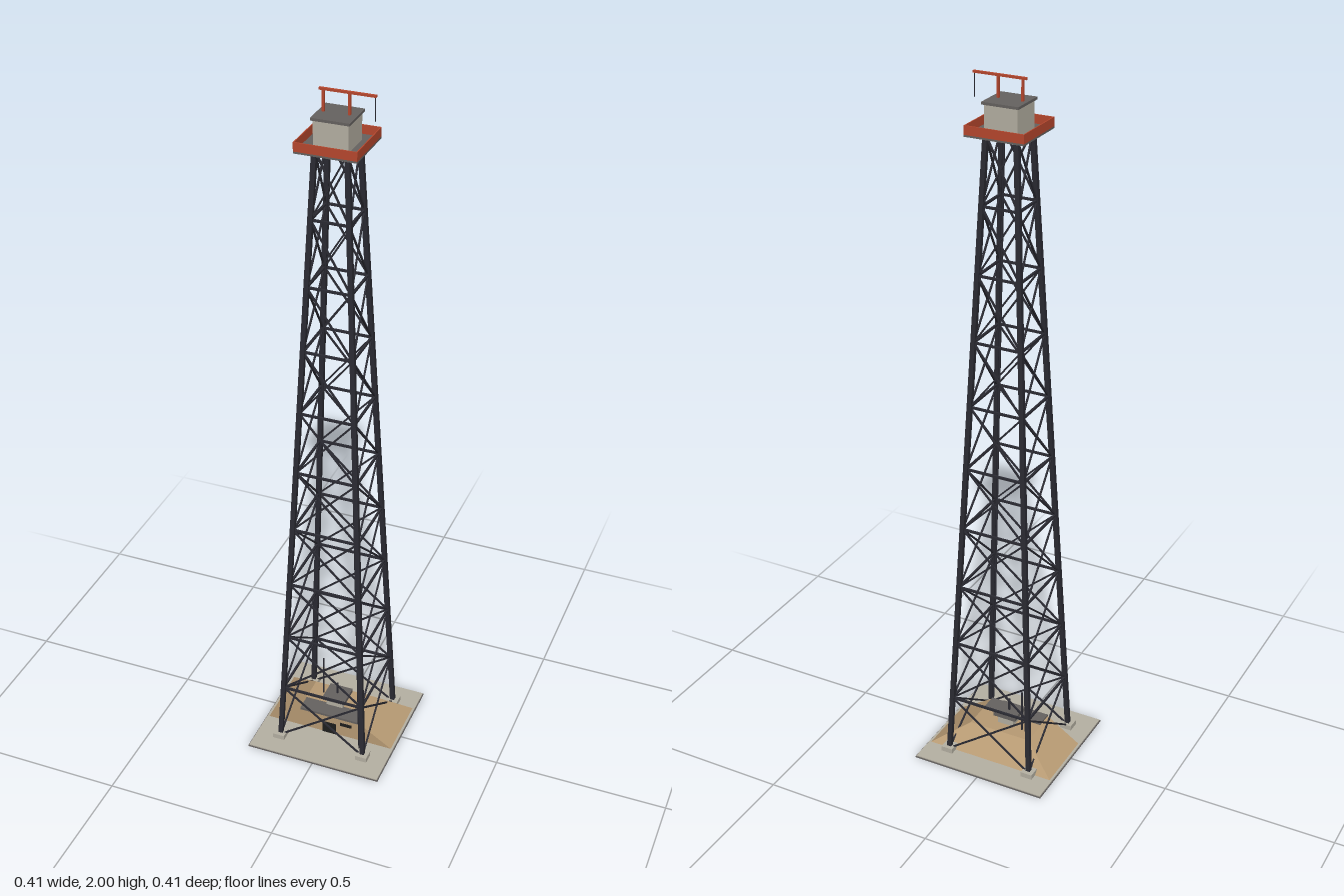
import * as THREE from 'three';
import { ConvexGeometry } from 'three/addons/geometries/ConvexGeometry.js';

const mat = (name, color) => Object.assign(new THREE.MeshStandardMaterial({ color }), { name });
const V = (x, y, z) => new THREE.Vector3(x, y, z);

export function createModel() {
  const steel = mat('dark steel', 0x2b2b33);
  const concrete = mat('concrete', 0xb6b1a3);
  const sand = mat('packed earth', 0xb89b74);
  const rust = mat('red oxide', 0xb8482e);
  const grey = mat('dark grey', 0x666260);
  const black = mat('opening black', 0x1f1e1d);

  const model = new THREE.Group();
  model.name = 'watchTower';
  const group = (name) => {
    const g = new THREE.Group();
    g.name = name;
    model.add(g);
    return g;
  };

  // Box given by its centre x, bottom y, centre z
  const box = (parent, name, m, w, h, d, x, y, z) => {
    const mesh = new THREE.Mesh(new THREE.BoxGeometry(w, h, d), m);
    mesh.position.set(x, y + h / 2, z);
    mesh.name = name;
    parent.add(mesh);
    return mesh;
  };

  // Square bar between two points
  const bar = (parent, name, m, a, b, t) => {
    const mesh = new THREE.Mesh(new THREE.BoxGeometry(t, t, a.distanceTo(b)), m);
    mesh.position.copy(a).add(b).multiplyScalar(0.5);
    mesh.lookAt(b);
    mesh.name = name;
    parent.add(mesh);
  };

  // Dark foundation plate, concrete slab and leg footings
  const base = group('base');
  box(base, 'foundation', grey, 0.407, 0.003, 0.407, 0, 0, 0);
  box(base, 'slab', concrete, 0.402, 0.003, 0.402, 0, 0.003, 0);
  for (const sx of [-1, 1]) for (const sz of [-1, 1])
    box(base, 'footing', concrete, 0.035, 0.016, 0.035, sx * 0.13, 0.005, sz * 0.13);

  // Earth-banked bunker: vertical front, sloping sides and back
  const bunker = group('bunker');
  const corners = [];
  for (const s of [-1, 1]) corners.push(
    V(s * 0.196, 0.005, 0.066), V(s * 0.196, 0.005, -0.126),
    V(s * 0.095, 0.07, 0.066), V(s * 0.095, 0.07, -0.063));
  const mound = new THREE.Mesh(new ConvexGeometry(corners), sand);
  mound.name = 'earthMound';
  bunker.add(mound);
  box(bunker, 'roofLip', grey, 0.185, 0.007, 0.05, 0, 0.068, 0.043);
  box(bunker, 'door', black, 0.042, 0.038, 0.005, 0, 0.006, 0.066);
  box(bunker, 'window', black, 0.036, 0.01, 0.005, 0.052, 0.045, 0.066);
  box(bunker, 'cupola', concrete, 0.05, 0.026, 0.05, 0, 0.069, 0);
  box(bunker, 'cupolaRoof', grey, 0.07, 0.012, 0.065, 0, 0.095, 0);
  box(bunker, 'ventPole', steel, 0.005, 0.04, 0.005, 0, 0.105, 0);
  box(bunker, 'aerial', steel, 0.004, 0.132, 0.004, -0.055, 0.07, -0.026);

  // Tapering lattice tower
  const tower = group('latticeTower');
  const top = 1.857, bays = 10, foot = 0.01, slope = 0.087 / top;
  const half = (y) => 0.13 - slope * y;
  const level = (i) => 0.002 + i * 0.1855;
  const at = (sx, y, sz) => V(sx * half(y), y, sz * half(y));
  const ring = [[1, 1], [1, -1], [-1, -1], [-1, 1]];
  ring.forEach(([ax, az], k) => {
    const [bx, bz] = ring[(k + 1) % 4];
    // Leg with an upright square section, sheared towards the axis
    const mid = at(ax, (foot + top) / 2, az);
    const leg = box(tower, 'leg', steel, 0.013, top - foot, 0.013, mid.x, foot, mid.z);
    leg.geometry.applyMatrix4(new THREE.Matrix4().set(
      1, -ax * slope, 0, 0,
      0, 1, 0, 0,
      0, -az * slope, 1, 0,
      0, 0, 0, 1));
    for (let i = 0; i < bays; i++) {
      const y0 = Math.max(level(i), foot), y1 = level(i + 1);
      bar(tower, 'girt', steel, at(ax, y1, az), at(bx, y1, bz), 0.006);
      bar(tower, 'brace', steel, at(ax, y0, az), at(bx, y1, bz), 0.0045);
      bar(tower, 'brace', steel, at(bx, y0, bz), at(ax, y1, az), 0.0045);
    }
  });
  // Cable run beside the front left leg
  bar(tower, 'cable', steel, V(0.107, 0.006, 0.097), V(0.036, 1.86, 0.037), 0.004);

  // Platform with a red parapet
  const platform = group('platform');
  box(platform, 'deck', grey, 0.166, 0.005, 0.166, 0, 1.856, 0);
  for (const s of [-1, 1]) {
    box(platform, 'parapet', rust, 0.166, 0.024, 0.003, 0, 1.861, s * 0.0815);
    box(platform, 'parapet', rust, 0.003, 0.024, 0.16, s * 0.0815, 1.861, 0);
  }

  // Cabin
  const cabin = group('cabin');
  box(cabin, 'cabinWalls', concrete, 0.092, 0.073, 0.092, 0, 1.86, 0);
  box(cabin, 'cabinRoof', grey, 0.102, 0.007, 0.102, 0, 1.933, 0);

  // Roof gantry with a hanging line
  const gantry = group('gantry');
  box(gantry, 'gantryBeam', rust, 0.148, 0.006, 0.007, 0.026, 1.994, 0);
  for (const x of [-0.037, 0.031])
    box(gantry, 'gantryPost', rust, 0.006, 0.056, 0.006, x, 1.939, 0);
  box(gantry, 'hangingLine', steel, 0.0018, 0.062, 0.0018, 0.097, 1.933, 0);

  return model;
}
